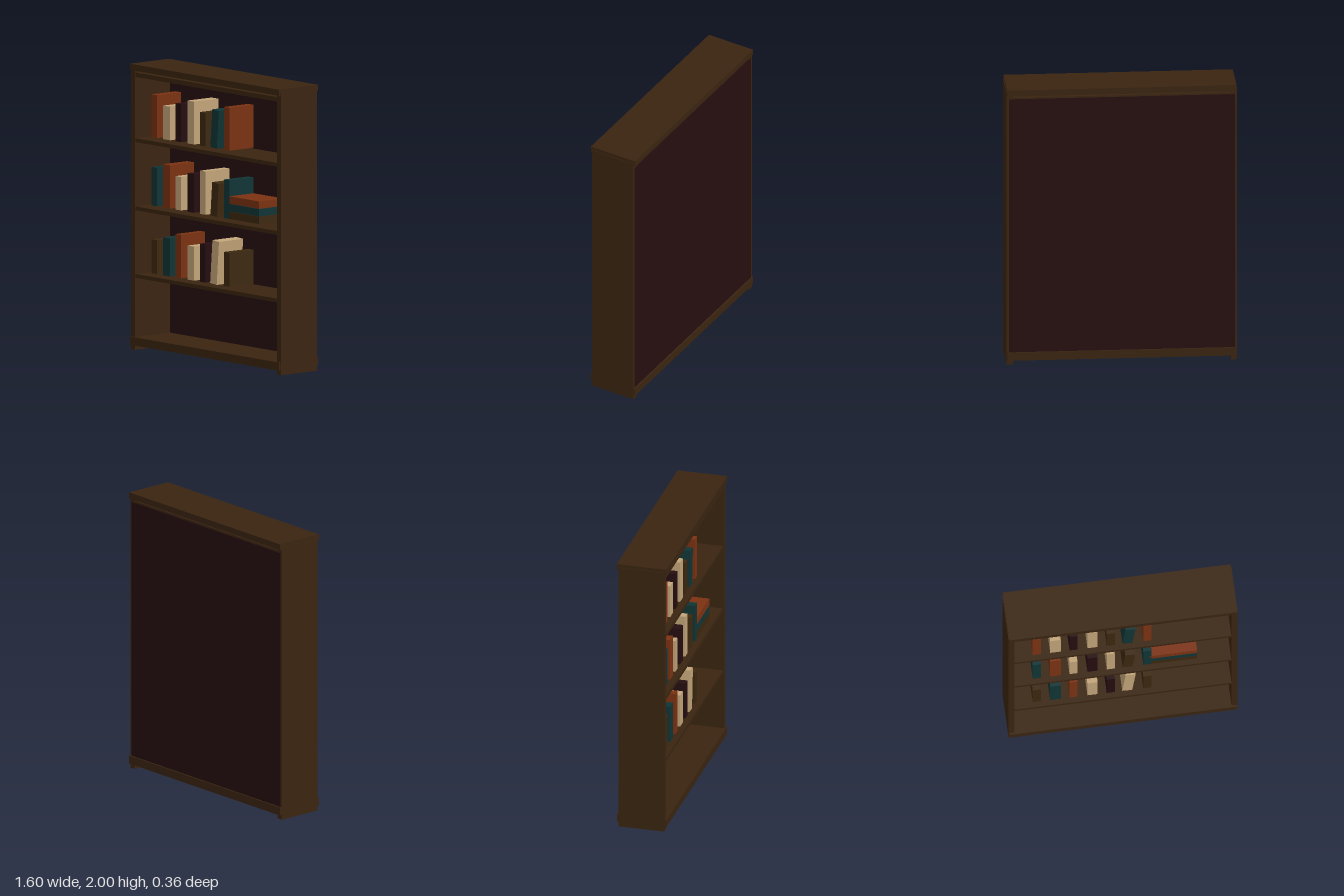
import * as THREE from 'three';

const material = (name, color) => {
  const m = new THREE.MeshStandardMaterial({ color });
  m.name = name;
  return m;
};

export function createModel() {
  const model = new THREE.Group();
  model.name = 'bookcase';
  const wood = material('dark wood', 0x3a2410);
  const backing = material('dark backing', 0x260e0f);
  const rust = material('rust cover', 0x7a3211);
  const cream = material('cream cover', 0xc2a478);
  const plum = material('plum cover', 0x250d10);
  const olive = material('brown cover', 0x3c280f);
  const teal = material('teal cover', 0x113435);

  // Box given by its size and centre
  const box = (parent, name, mat, [w, h, d], [x, y, z]) => {
    const mesh = new THREE.Mesh(new THREE.BoxGeometry(w, h, d), mat);
    mesh.name = name;
    mesh.position.set(x, y, z);
    parent.add(mesh);
    return mesh;
  };

  // Carcass: sides, overhanging cap and plinth, top rail, backing
  for (const s of [-1, 1]) {
    box(model, s > 0 ? 'leftSide' : 'rightSide', wood, [0.043, 1.975, 0.33], [s * 0.7785, 0.9875, 0]);
  }
  box(model, 'topCap', wood, [1.592, 0.044, 0.356], [0, 1.978, 0]);
  box(model, 'plinth', wood, [1.592, 0.058, 0.356], [0, 0.061, 0]);
  box(model, 'topBoard', wood, [1.516, 0.032, 0.32], [0, 1.926, 0]);
  box(model, 'backPanel', backing, [1.57, 1.845, 0.015], [0, 1.008, -0.1595]);
  for (const y of [0.517, 0.99, 1.467]) {
    box(model, 'shelf', wood, [1.516, 0.027, 0.31], [0, y, 0.003]);
  }

  // Upright books: seven per shelf, the sixth one leaning
  const centres = [-0.597, -0.467, -0.341, -0.208, -0.081, 0.046, 0.175];
  const widths = [0.058, 0.074, 0.056, 0.072, 0.056, 0.07, 0.058];
  const rows = [
    { base: 1.5, books: [[rust, 0.3], [cream, 0.235], [plum, 0.267], [cream, 0.3], [olive, 0.235], [teal, 0.267], [rust, 0.3]] },
    { base: 1.022, books: [[teal, 0.27], [rust, 0.303], [cream, 0.235], [plum, 0.27], [cream, 0.303], [olive, 0.235], [teal, 0.27]] },
    { base: 0.547, books: [[olive, 0.238], [teal, 0.267], [rust, 0.305], [cream, 0.238], [plum, 0.267], [cream, 0.305], [olive, 0.238]] },
  ];
  for (const { base, books } of rows) {
    const row = new THREE.Group();
    row.name = 'bookRow';
    model.add(row);
    books.forEach(([mat, h], i) => {
      const book = box(row, 'book', mat, [widths[i], h, 0.22], [centres[i], base + h / 2, 0.015]);
      if (i === 5) book.rotation.z = -0.08;
    });
  }

  // Books lying flat on the middle shelf
  [olive, teal, rust].forEach((mat, i) => {
    box(model, 'flatBook', mat, [0.332, 0.052, 0.22], [0.356, 1.048 + i * 0.0535, 0.015]);
  });
  return model;
}
